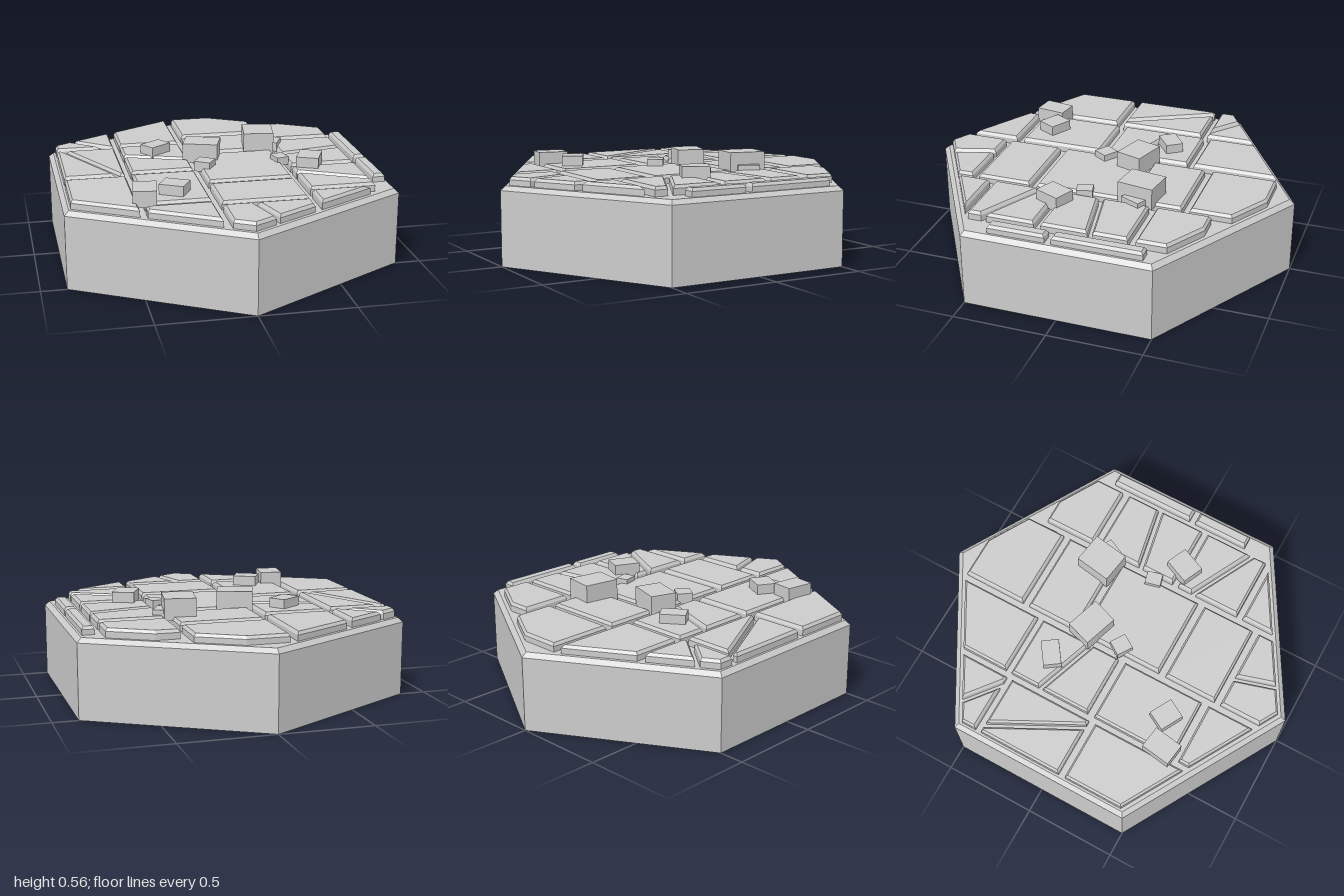
import * as THREE from 'three';

const material = new THREE.MeshStandardMaterial({ color: 0xcccccc, flatShading: true });
const BASE_TOP = 0.415;
const SLOPE = Math.tan(Math.PI / 6);
const HALF_CRACK = 0.012;

// Keeps the part of a convex outline where nx * x + nz * z <= c
function clip(outline, nx, nz, c) {
  const result = [];
  outline.forEach((p, i) => {
    const q = outline[(i + 1) % outline.length];
    const dp = nx * p[0] + nz * p[1] - c;
    const dq = nx * q[0] + nz * q[1] - c;
    if (dp <= 0) result.push(p);
    if (dp * dq < 0) {
      const t = dp / (dp - dq);
      result.push([p[0] + t * (q[0] - p[0]), p[1] + t * (q[1] - p[1])]);
    }
  });
  return result;
}

// Cell of the paving, trimmed to the hexagon and split along its crack
function cellOutlines(x0, x1, { z0, z1, crack }) {
  let cell = [[x0, z0], [x1, z0], [x1, z1], [x0, z1]];
  for (const sx of [-1, 1]) {
    for (const sz of [-1, 1]) cell = clip(cell, sx * SLOPE, sz, 0.95);
  }
  if (!crack) return [cell];
  const [ax, az, bx, bz] = crack;
  const len = Math.hypot(bx - ax, bz - az);
  const nx = (bz - az) / len, nz = (ax - bx) / len;
  const c = nx * ax + nz * az;
  return [1, -1].map(s => clip(cell, s * nx, s * nz, s * c - HALF_CRACK));
}

// Moves every edge of a convex outline inwards by d
function inset(outline, d) {
  const n = outline.length;
  const edges = outline.map(([x, z], i) => {
    const [x2, z2] = outline[(i + 1) % n];
    const len = Math.hypot(x2 - x, z2 - z);
    const nx = (z - z2) / len, nz = (x2 - x) / len;
    return { nx, nz, c: nx * x + nz * z + d };
  });
  return edges.map((b, i) => {
    const a = edges[(i + n - 1) % n];
    const det = a.nx * b.nz - a.nz * b.nx;
    return [(a.c * b.nz - b.c * a.nz) / det, (a.nx * b.c - b.nx * a.c) / det];
  });
}

// Paving slab: straight sides, chamfered rim, flat top
function slabGeometry(outline, top) {
  const n = outline.length;
  const ring = (points, y) => points.map(([x, z]) => [x, y, z]);
  const rings = [
    ring(outline, BASE_TOP - 0.01),
    ring(outline, top - 0.016),
    ring(inset(outline, 0.011), top),
  ];
  const positions = [];
  const tri = (a, b, c) => positions.push(...a, ...b, ...c);
  for (let r = 0; r < 2; r++) {
    for (let i = 0; i < n; i++) {
      const j = (i + 1) % n;
      tri(rings[r][j], rings[r][i], rings[r + 1][i]);
      tri(rings[r][j], rings[r + 1][i], rings[r + 1][j]);
    }
  }
  for (let k = 1; k < n - 1; k++) tri(rings[2][0], rings[2][k + 1], rings[2][k]);
  const geometry = new THREE.BufferGeometry();
  geometry.setAttribute('position', new THREE.Float32BufferAttribute(positions, 3));
  geometry.computeVertexNormals();
  return geometry;
}

// Paving columns from -x to +x; a crack is a line x, z to x, z
const rightCells = [
  { z0: -1, z1: -0.39, crack: [-0.735, -0.53, -0.56, -0.39] },
  { z0: -0.355, z1: 0.107, crack: [-0.79, -0.355, -0.55, 0.107] },
  { z0: 0.145, z1: 1 },
];
const innerRightCells = [
  { z0: -1, z1: -0.415 },
  { z0: -0.38, z1: 0.08, crack: [-0.475, -0.203, -0.14, -0.085] },
  { z0: 0.12, z1: 0.575 },
  { z0: 0.615, z1: 1 },
];
const middleCells = [
  { z0: -0.88, z1: -0.53 },
  { z0: -0.49, z1: -0.205 },
  { z0: -0.165, z1: 0.3 },
  { z0: 0.34, z1: 0.63 },
  { z0: 0.665, z1: 1, crack: [0.06, 0.665, 0.125, 0.88] },
];
const innerLeftCells = [
  { z0: -0.655, z1: -0.37 },
  { z0: -0.33, z1: 0.125, crack: [0.385, -0.07, 0.73, -0.135] },
  { z0: 0.16, z1: 0.515, crack: [0.385, 0.253, 0.73, 0.43] },
  { z0: 0.55, z1: 1 },
];
const leftCells = [{ z0: -0.44, z1: 0.03 }, { z0: 0.065, z1: 0.37 }];

export function createModel() {
  const model = new THREE.Group();
  model.name = 'pavedHexTile';
  const addMesh = (name, geometry, parent) => {
    const mesh = new THREE.Mesh(geometry, material);
    mesh.name = name;
    parent.add(mesh);
    return mesh;
  };
  const addGroup = name => {
    const group = new THREE.Group();
    group.name = name;
    model.add(group);
    return group;
  };

  // Hexagonal base with a chamfered upper edge
  const profile = [[0, 0], [1, 0], [1, 0.392], [0.972, BASE_TOP], [0, BASE_TOP]];
  addMesh('base', new THREE.LatheGeometry(profile.map(p => new THREE.Vector2(...p)), 6), model);

  // Paving
  const paving = addGroup('paving');
  const addColumn = (name, x0, x1, top, cells) => {
    cells.flatMap(cell => cellOutlines(x0, x1, cell)).forEach((outline, i) => {
      addMesh(`${name}${i + 1}`, slabGeometry(outline, top), paving);
    });
  };
  addColumn('rightSlab', -0.83, -0.51, 0.463, rightCells);
  addColumn('innerRightSlab', -0.475, -0.14, 0.461, innerRightCells);
  addColumn('middleSlab', -0.1, 0.345, 0.46, middleCells);
  addColumn('innerLeftSlab', 0.385, 0.73, 0.464, innerLeftCells);
  addColumn('leftSlab', 0.765, 0.83, 0.459, leftCells);

  // Rubble lying on the paving
  const rubble = addGroup('rubble');
  const addBlock = (name, x, z, width, depth, top, turn) => {
    const height = top - 0.44;
    const block = addMesh(name, new THREE.BoxGeometry(width, height, depth), rubble);
    block.position.set(x, top - height / 2, z);
    block.rotation.y = turn;
  };
  addBlock('backRightBlock', -0.295, -0.24, 0.137, 0.095, 0.51, 0.62);
  addBlock('centreBlock', -0.055, -0.13, 0.19, 0.145, 0.545, -0.32);
  addBlock('centreChip', -0.075, 0.06, 0.09, 0.085, 0.495, -0.58);
  addBlock('backLeftBlock', 0.29, -0.26, 0.165, 0.195, 0.555, -0.16);
  addBlock('backLeftChip', 0.37, -0.25, 0.085, 0.115, 0.49, -0.45);
  addBlock('leftChip', 0.345, 0.03, 0.07, 0.085, 0.485, 0.25);
  addBlock('leftBlock', 0.48, 0.145, 0.12, 0.145, 0.52, -0.42);
  addBlock('frontRightBlock', -0.465, 0.51, 0.12, 0.16, 0.525, -0.15);
  addBlock('frontRightChip', -0.305, 0.45, 0.13, 0.11, 0.515, -0.5);
  return model;
}
